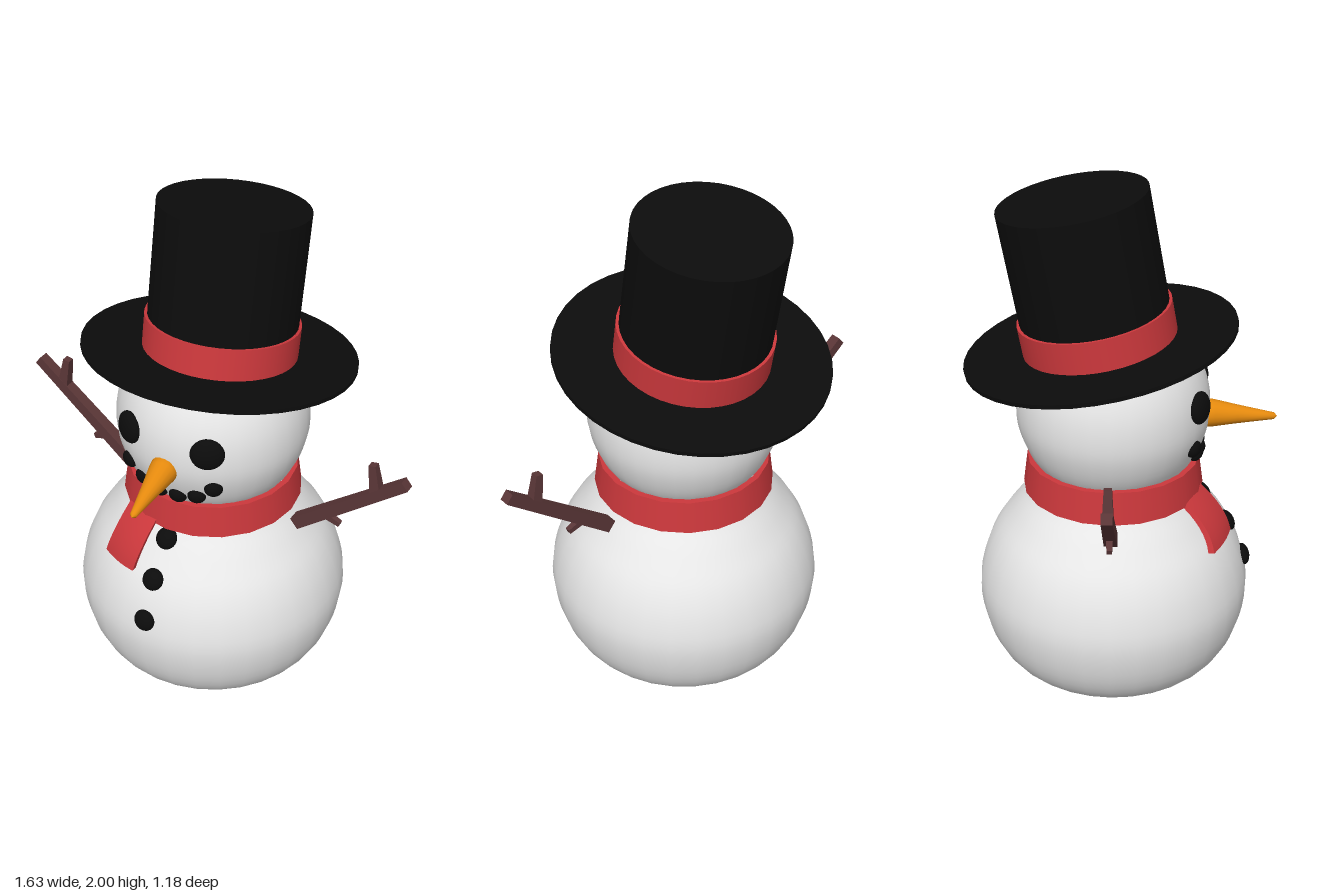
import * as THREE from 'three';

const mat = (name, color, extra = {}) => new THREE.MeshStandardMaterial({ name, color, ...extra });
const AXIS_Z = -0.03;
const UP = new THREE.Vector3(0, 1, 0);
const OUT = new THREE.Vector3(0, 0, 1);

// smooth [radius, height] profile, bottom to top
const smooth = (pts) => new THREE.SplineCurve(pts.map(p => new THREE.Vector2(...p))).getPoints(36)
  .map(p => new THREE.Vector2(Math.max(p.x, 0), p.y));

function radiusAt(profile, y) {
  for (let i = 1; i < profile.length; i++) {
    const a = profile[i - 1], b = profile[i];
    if (y >= a.y && y <= b.y && b.y > a.y) return THREE.MathUtils.mapLinear(y, a.y, b.y, a.x, b.x);
  }
  return 0;
}

export function createModel() {
  const snow = mat('snow white', 0xe7e7e7);
  const black = mat('coal black', 0x0c0c0c);
  const red = mat('scarf red', 0xcc383c);
  const orange = mat('carrot orange', 0xe78b0e);
  const wood = mat('twig brown', 0x5a3637, { flatShading: true });

  const model = new THREE.Group();
  const add = (name, geometry, material, parent = model) => {
    const mesh = new THREE.Mesh(geometry, material);
    mesh.name = name;
    parent.add(mesh);
    return mesh;
  };

  // snowballs
  const bodyProfile = smooth([[0, 0.003], [0.2, 0.008], [0.33, 0.035], [0.435, 0.105], [0.5, 0.22], [0.528, 0.37],
    [0.508, 0.5], [0.463, 0.61], [0.4, 0.7], [0.335, 0.78], [0.25, 0.86], [0, 0.95]]);
  const headProfile = smooth([[0, 0.79], [0.15, 0.82], [0.25, 0.88], [0.315, 0.96], [0.355, 1.06], [0.366, 1.15],
    [0.355, 1.25], [0.32, 1.345], [0.265, 1.42], [0.15, 1.485], [0, 1.51]]);
  add('body', new THREE.LatheGeometry(bodyProfile, 32), snow).position.z = AXIS_Z;
  add('head', new THREE.LatheGeometry(headProfile, 32), snow).position.z = AXIS_Z;

  // flattened coal resting on a snowball's front
  function coal(name, profile, x, y, rx, ry, depth) {
    const r = radiusAt(profile, y);
    const slope = (radiusAt(profile, y + 0.02) - radiusAt(profile, y - 0.02)) / 0.04;
    const z = Math.sqrt(r * r - x * x);
    const m = add(name, new THREE.SphereGeometry(1, 16, 12), black);
    m.scale.set(rx, ry, depth);
    m.position.set(x, y, z + AXIS_Z);
    m.quaternion.setFromUnitVectors(OUT, new THREE.Vector3(x / r, -slope, z / r).normalize());
  }
  for (const s of [-1, 1]) {
    coal(s > 0 ? 'leftEye' : 'rightEye', headProfile, s * 0.165, 1.213, 0.064, 0.061, 0.03);
    for (const [x, y] of [[0.18, 1.05], [0.115, 1.0], [0.04, 0.982]])
      coal('mouthCoal', headProfile, s * x, y, 0.035, 0.034, 0.025);
  }
  for (const y of [0.77, 0.64, 0.485]) coal('button', bodyProfile, 0, y, 0.043, 0.043, 0.026);

  // carrot nose
  const noseBase = new THREE.Vector3(0, 1.113, 0.29), noseTip = new THREE.Vector3(0.036, 1.081, 0.592);
  const noseDir = noseTip.clone().sub(noseBase);
  const L = noseDir.length();
  const nose = add('nose', new THREE.LatheGeometry(
    [[0, 0], [0.045, 0.005], [0.055, 0.03], [0.052, 0.06], [0.036, 0.15], [0.02, 0.25], [0.013, L - 0.012], [0, L]]
      .map(p => new THREE.Vector2(...p)), 16), orange);
  nose.position.copy(noseBase);
  nose.quaternion.setFromUnitVectors(UP, noseDir.normalize());

  // scarf ring with an inner wall
  const ring = [[0.315, 0.815], [0.345, 0.815], [0.328, 0.942], [0.305, 0.942], [0.3, 0.815]];
  const scarfMat = red;
  for (let i = 0; i < 3; i++) // separate bands keep the rim edges sharp
    add('scarf', new THREE.LatheGeometry([ring[i], ring[i + 1]].map(p => new THREE.Vector2(...p)), 20), scarfMat)
      .position.z = AXIS_Z;
  add('scarfInside', new THREE.LatheGeometry([ring[3], ring[4]].map(p => new THREE.Vector2(...p)), 20), scarfMat)
    .position.z = AXIS_Z;

  // hanging scarf end, bent over the body
  const tailGeo = new THREE.BoxGeometry(1, 1, 0.022, 5, 8, 1);
  const pos = tailGeo.attributes.position;
  for (let i = 0; i < pos.count; i++) {
    const u = pos.getX(i) + 0.5, v = 0.5 - pos.getY(i);
    const x = THREE.MathUtils.lerp(-0.2 - 0.05 * v, -0.05 - 0.035 * v, u);
    const y = 0.835 - v * (0.195 - 0.012 * u);
    const R = 0.325 + 0.127 * v + 0.08 * v * (1 - v);
    pos.setXYZ(i, x, y, AXIS_Z + Math.sqrt(R * R - x * x) + pos.getZ(i));
  }
  tailGeo.computeVertexNormals();
  add('scarfEnd', tailGeo, red);

  // twig arms: tapered square sticks between two points
  function stick(name, parent, from, to, w0, w1) {
    const a = new THREE.Vector3(...from, 0), d = new THREE.Vector3(...to, 0).sub(a);
    const len = d.length();
    const geo = new THREE.CylinderGeometry(w1 / Math.SQRT2, w0 / Math.SQRT2, len, 4);
    geo.rotateY(Math.PI / 4).translate(0, len / 2, 0);
    const m = add(name, geo, wood, parent);
    m.position.copy(a);
    m.quaternion.setFromUnitVectors(UP, d.normalize());
  }
  for (const s of [-1, 1]) {
    const arm = new THREE.Group();
    arm.name = s > 0 ? 'leftArm' : 'rightArm';
    arm.position.z = AXIS_Z;
    stick('branch', arm, [s * 0.37, 0.77], [s * 0.802, 1.117], 0.05, 0.04);
    stick('upperTwig', arm, [s * 0.69, 1.03], [s * 0.668, 1.155], 0.042, 0.028);
    stick('lowerTwig', arm, [s * 0.47, 0.86], [s * 0.552, 0.83], 0.028, 0.02);
    model.add(arm);
  }

  // top hat, tipped backwards
  const hat = new THREE.Group();
  hat.name = 'topHat';
  hat.position.set(0, 1.4, -0.076);
  hat.rotation.x = -THREE.MathUtils.degToRad(10);
  add('brim', new THREE.CylinderGeometry(0.515, 0.515, 0.016, 40), black, hat);
  add('crown', new THREE.CylinderGeometry(0.279, 0.279, 0.56, 40), black, hat).position.y = 0.28;
  add('hatBand', new THREE.CylinderGeometry(0.29, 0.29, 0.125, 40), red, hat).position.y = 0.0655;
  model.add(hat);

  return model;
}
